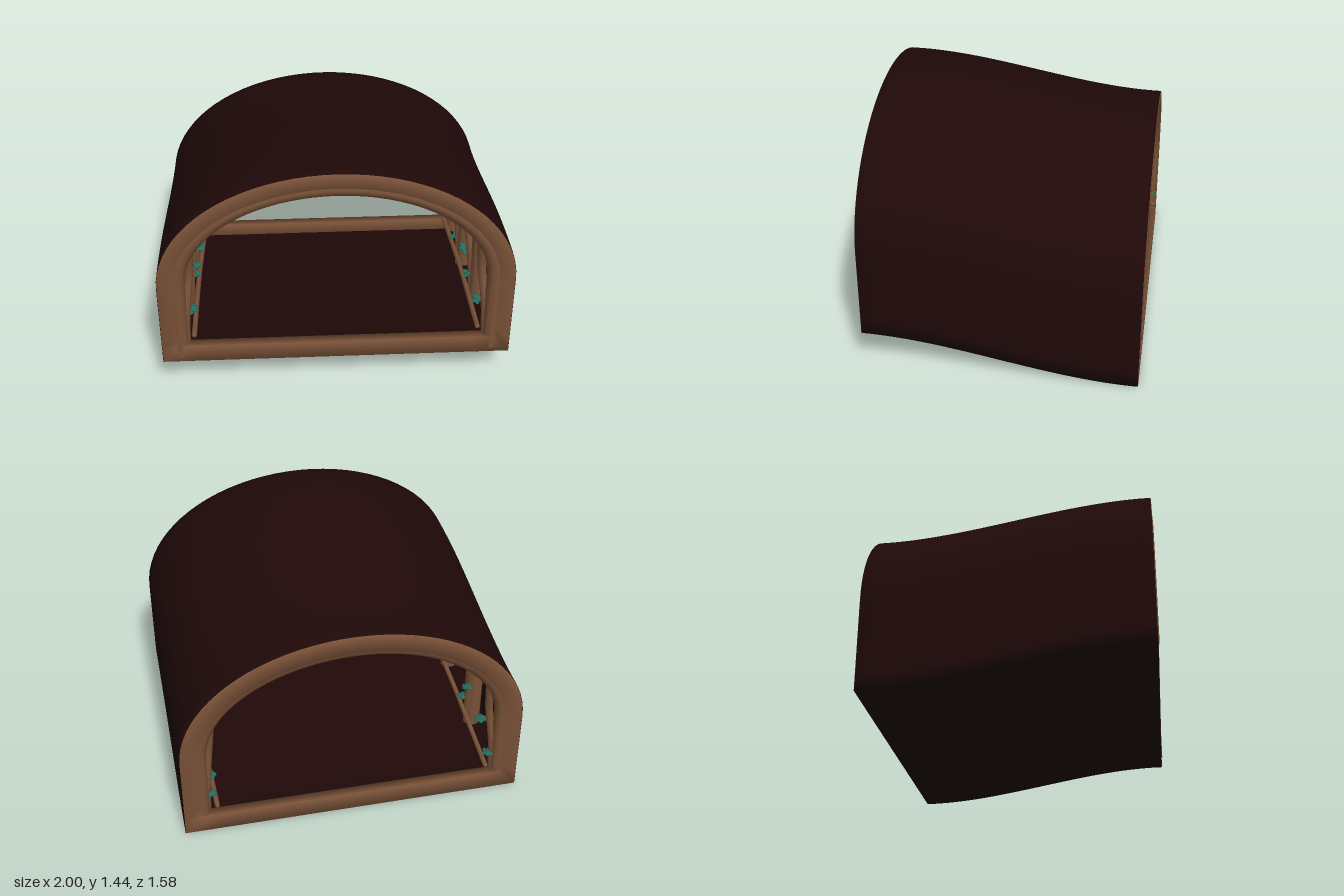
import * as THREE from 'three';
import { mergeGeometries } from 'three/addons/utils/BufferGeometryUtils.js';

const END = 0.785, SKIN = 0.03, FRAME = 0.11, DEPTH = 0.06, SPRING = 0.52, TOP = 1.24;

// Height of the tunnel's underside: an S-curve rising towards the front
function lift(z) {
  const t = THREE.MathUtils.clamp((z + END) / (2 * END), 0, 1);
  return 0.2 * t * t * (3 - 2 * t);
}

// Side, arch and side of the D-shaped section, inset by d, from +x floor to -x floor
function archPoints(d, sideSteps = 6, archSteps = 40) {
  const w = 1 - d, pts = [];
  for (let i = 0; i < sideSteps; i++) pts.push([w, d + (SPRING - d) * i / sideSteps]);
  for (let i = 0; i <= archSteps; i++) {
    const a = Math.PI * i / archSteps;
    pts.push([w * Math.cos(a), SPRING + (TOP - d - SPRING) * Math.sin(a)]);
  }
  for (let i = sideSteps - 1; i >= 0; i--) pts.push([-w, d + (SPRING - d) * i / sideSteps]);
  return pts;
}

// Closed section including the floor
function section(d, floorSteps = 12) {
  const pts = archPoints(d);
  for (let i = 1; i < floorSteps; i++) pts.push([(1 - d) * (2 * i / floorSteps - 1), d]);
  return pts;
}

// Skin sections through a loop of rings, each ring being [inset, z]
function loopGeometry(rings) {
  const pos = [], index = [], geo = new THREE.BufferGeometry();
  const m = section(0).length;
  for (const [d, z] of rings) {
    for (const [x, y] of section(d)) pos.push(x, y + lift(z), z);
  }
  for (let k = 0; k < rings.length; k++) {
    const next = (k + 1) % rings.length;
    for (let i = 0; i < m; i++) {
      const j = (i + 1) % m;
      const a = k * m + i, b = k * m + j, c = next * m + j, e = next * m + i;
      index.push(a, b, c, a, c, e);
    }
  }
  geo.setAttribute('position', new THREE.Float32BufferAttribute(pos, 3));
  geo.setIndex(index);
  geo.computeVertexNormals();
  return geo;
}

// Thin shell: along the outside to the front, then back along the inside
function shellGeometry() {
  const N = 24, half = END - 0.002, rings = [];
  for (let k = 0; k <= N; k++) rings.push([0, half * (2 * k / N - 1)]);
  for (let k = N; k >= 0; k--) rings.push([SKIN, half * (2 * k / N - 1)]);
  return loopGeometry(rings);
}

// End frame between two depths, its soft normals giving a rounded look
function frameGeometry(z0, z1) {
  return loopGeometry([[0.002, z0], [0.002, z1], [FRAME, z1], [FRAME, z0]]);
}

function tube(points, radius, steps, sides = 10) {
  const curve = new THREE.CatmullRomCurve3(points.map(p => new THREE.Vector3(...p)));
  return new THREE.TubeGeometry(curve, steps, radius, sides);
}

// Small tuft of flat leaves spread around a point
function tuftGeometry(seed) {
  const leaves = [];
  for (let i = 0; i < 6; i++) {
    const leaf = new THREE.SphereGeometry(1, 8, 5);
    leaf.scale(0.028, 0.009, 0.018);
    leaf.translate(0.02, 0, 0);
    leaf.rotateZ(0.25 * Math.sin(seed + i * 2.1));
    leaf.rotateY(i * Math.PI / 3 + seed);
    leaf.translate(0, 0.01 * Math.sin(seed * 3 + i * 1.7), 0);
    leaves.push(leaf);
  }
  return mergeGeometries(leaves);
}

export function createModel() {
  const model = new THREE.Group();
  const material = (name, color) => {
    const mat = new THREE.MeshStandardMaterial({ color });
    mat.name = name;
    return mat;
  };
  const bark = material('dark bark', 0x1f0808);
  const wood = material('brown wood', 0x7a5238);
  const green = material('leaf green', 0x257060);

  const add = (name, geo, mat, parent = model) => {
    const mesh = new THREE.Mesh(geo, mat);
    mesh.name = name;
    parent.add(mesh);
    return mesh;
  };

  add('tunnelShell', shellGeometry(), bark);
  add('frontFrame', frameGeometry(END - DEPTH, END), wood);
  add('backFrame', frameGeometry(-END, DEPTH - END), wood);

  // Round ribs lining the inside
  const ribZ = [0.74, 0.25, -0.25, -0.735];
  for (const z of ribZ) {
    const path = archPoints(0.105, 4, 24).map(([x, y]) => [x, y + lift(z), z]);
    path.unshift([0.895, lift(z) + 0.03, z]);
    path.push([-0.895, lift(z) + 0.03, z]);
    add('archRib', tube(path, 0.05, 72), wood);
  }

  // Leaf tufts on each wall: z, height above the base, size
  const tufts = {
    '1': [[0.6, 0.25, 0.9], [0.12, 0.34, 1.2], [0.24, 0.22, 0.8], [-0.37, 0.37, 1.2],
      [-0.28, 0.23, 0.9], [-0.7, 0.34, 1.1], [-0.73, 0.23, 0.9]],
    '-1': [[0.61, 0.25, 1], [0.24, 0.34, 1.2], [0.13, 0.22, 0.9], [-0.24, 0.23, 1],
      [-0.3, 0.36, 0.9], [-0.57, 0.35, 1.1], [-0.73, 0.23, 1]],
  };

  // Branches, rail and leaves along each wall
  for (const s of [1, -1]) {
    const wall = new THREE.Group();
    wall.name = s > 0 ? 'leftWallGrowth' : 'rightWallGrowth';
    model.add(wall);

    ribZ.forEach((z, n) => {
      const h = lift(z);
      const lean = n === 3 ? 0.04 : -0.07;
      add('leaningBranch', tube([
        [s * 0.865, h + 0.03, z],
        [s * 0.85, h + 0.32, z + lean * 0.3],
        [s * 0.825, h + 0.54, z + lean],
        [s * 0.805, h + 0.76, z + lean * 0.5],
      ], 0.024, 16, 8), wood, wall);
    });

    tufts[s].forEach(([z, dy, size], n) => {
      const tuft = add('leafTuft', tuftGeometry(n + dy * 10), green, wall);
      tuft.position.set(s * 0.83, lift(z) + dy, z);
      tuft.scale.set(size * 0.8, size, size);
    });

    // Low rail running down towards the back
    const front = [s * 0.815, 0.355, 0.74], back = [s * 0.805, 0.17, -0.77];
    add('lowRail', tube([front, [s * 0.82, 0.265, 0], back], 0.015, 24, 8), wood, wall);
    for (const p of [front, back]) {
      add('railEnd', new THREE.SphereGeometry(0.015, 8, 6), wood, wall).position.set(...p);
    }
  }
  return model;
}
